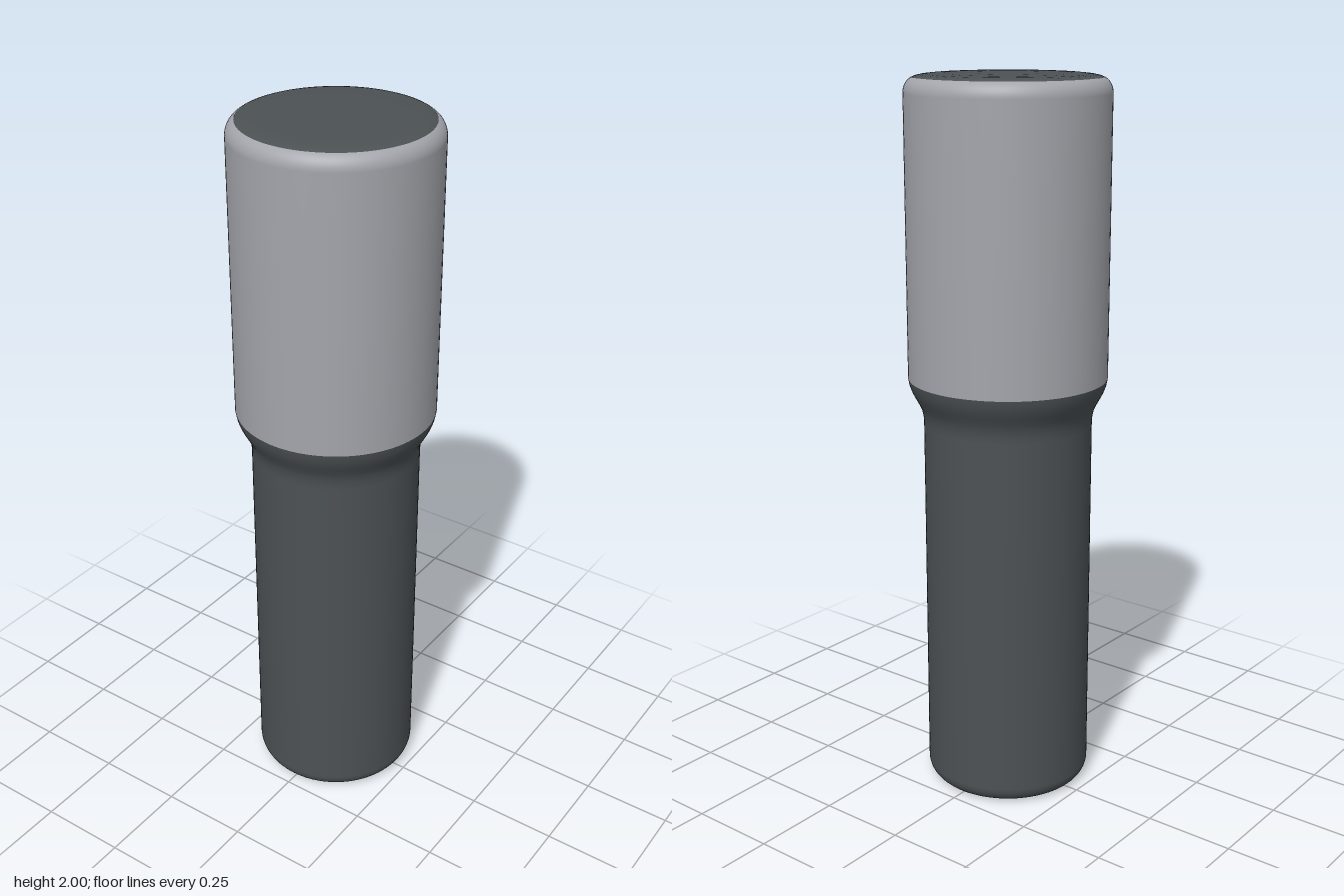
import * as THREE from 'three';

export function createModel() {
  const group = new THREE.Group();
  const darkGrey = new THREE.MeshStandardMaterial({ color: 0x4c5154 });
  const lightGrey = new THREE.MeshStandardMaterial({ color: 0xa3a5ab });
  darkGrey.name = 'darkGrey';
  lightGrey.name = 'lightGrey';

  // Turned part from a [radius, height] profile, listed bottom to top
  const turned = (name, profile, material) => {
    const points = profile.map(([r, y]) => new THREE.Vector2(r, y));
    const mesh = new THREE.Mesh(new THREE.LatheGeometry(points, 96), material);
    mesh.name = name;
    group.add(mesh);
  };

  // Quarter-round profile points around a centre, between two angles
  const arc = (cx, cy, rx, ry, from, to, steps = 8) =>
    Array.from({ length: steps + 1 }, (_, i) => {
      const a = from + ((to - from) * i) / steps;
      return [cx + rx * Math.cos(a), cy + ry * Math.sin(a)];
    });

  // Flat base
  turned('base', [[0, 0], [0.195, 0]], darkGrey);

  // Slim lower body with rounded foot, flaring out to the sleeve
  turned('lowerBody', [
    ...arc(0.192, 0.045, 0.04, 0.045, -Math.PI / 2, 0),
    [0.232, 0.4], [0.232, 0.8], [0.232, 1.06],
    [0.233, 1.08], [0.237, 1.1], [0.244, 1.117], [0.254, 1.135],
    [0.263, 1.152], [0.27, 1.17], [0.273, 1.185], [0.274, 1.19],
  ], darkGrey);

  // Wide upper sleeve with a rounded shoulder
  turned('upperSleeve', [
    [0.274, 1.19], [0.274, 1.5], [0.274, 1.8],
    ...arc(0.234, 1.95, 0.04, 0.044, 0, 1.16),
  ], lightGrey);

  // Slightly domed top cap
  turned('topCap', [
    [0.25, 1.99], [0.242, 1.993], [0.23, 1.9955], [0.21, 1.9975],
    [0.17, 1.999], [0.1, 2], [0, 2],
  ], darkGrey);

  return group;
}
